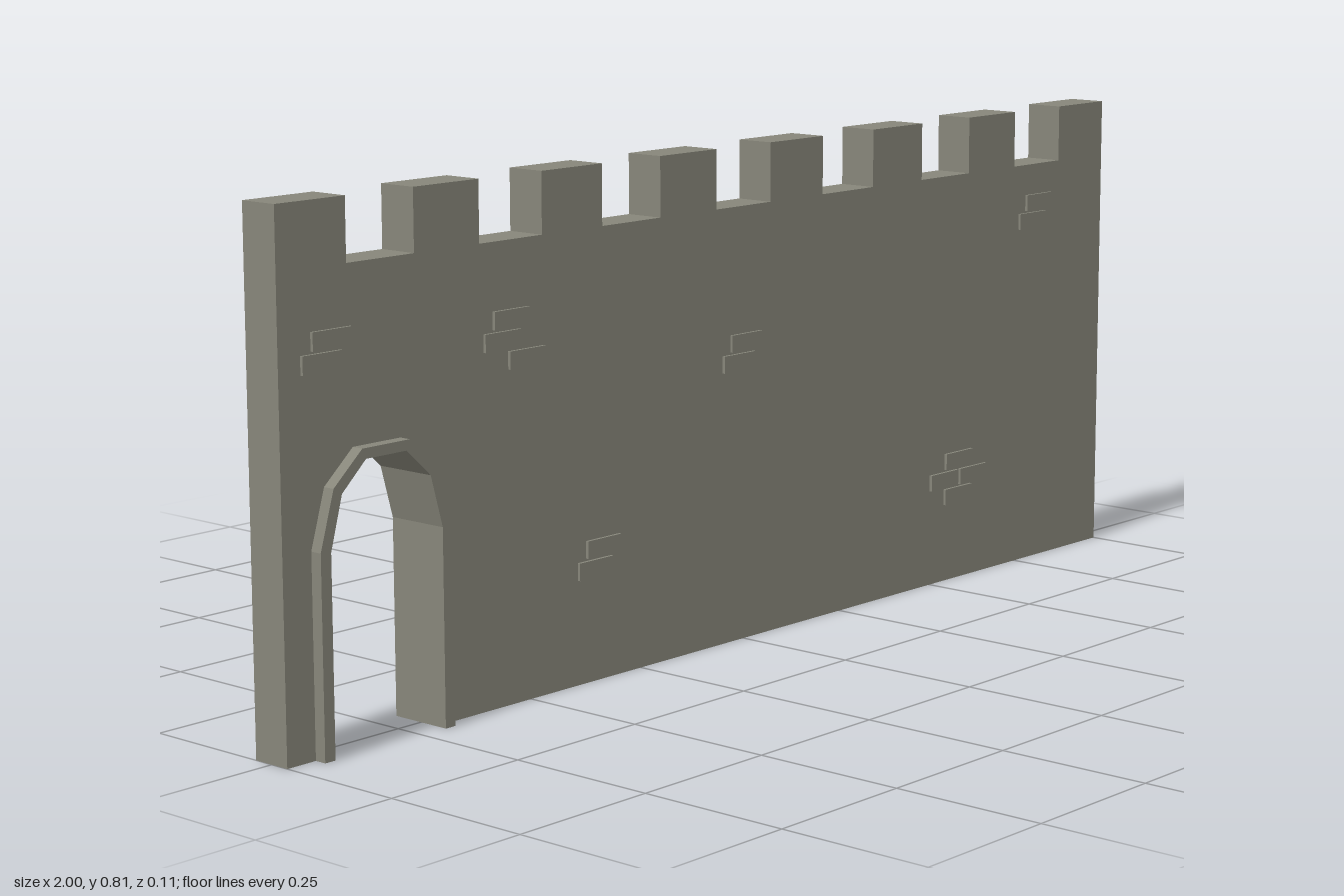
import * as THREE from 'three';

const stone = new THREE.MeshStandardMaterial({ color: 0x87867a });
stone.name = 'stone';

// Extrude a closed outline symmetrically about z = 0
function slab(name, points, depth) {
  const shape = new THREE.Shape(points.map(([x, y]) => new THREE.Vector2(x, y)));
  const geo = new THREE.ExtrudeGeometry(shape, { depth, bevelEnabled: false });
  geo.translate(0, 0, -depth / 2);
  const mesh = new THREE.Mesh(geo, stone);
  mesh.name = name;
  return mesh;
}

// Mirror half of an arch outline about the gate's centre line, left to right
const GATE_X = -0.814;
const arch = (half) => [
  ...half.map(([x, y]) => [GATE_X - x, y]),
  ...[...half].reverse().map(([x, y]) => [GATE_X + x, y]),
];

export function createModel() {
  const group = new THREE.Group();
  group.name = 'castleWall';

  const outer = arch([[0.131, 0], [0.131, 0.31], [0.104, 0.4], [0.047, 0.45]]);
  const inner = arch([[0.111, 0], [0.111, 0.308], [0.088, 0.39], [0.04, 0.434]]);

  // Wall with battlements and a gate opening
  const top = 0.815, notch = 0.718, step = 2 / 15, thickness = 0.067;
  const outline = [[-1, 0], ...outer, [1, 0]];
  for (let i = 14; i >= 0; i--) {
    const y = i % 2 === 0 ? top : notch;
    outline.push([-1 + (i + 1) * step, y], [-1 + i * step, y]);
  }
  group.add(slab('wall', outline, thickness));

  // Raised stone surround of the gate
  group.add(slab('gateFrame', [...outer, ...[...inner].reverse()], 0.107));

  // Clusters of slightly raised bricks on the front: [left x, top y]
  const bricks = new THREE.Group();
  bricks.name = 'bricks';
  const w = 0.076, h = 0.028, d = 0.005;
  [
    [-0.938, 0.627], [-0.958, 0.595],
    [-0.574, 0.613], [-0.594, 0.581], [-0.542, 0.549],
    [-0.033, 0.51], [-0.052, 0.478],
    [-0.375, 0.228], [-0.394, 0.196],
    [0.54, 0.228], [0.498, 0.196], [0.58, 0.196], [0.538, 0.165],
    [0.768, 0.664], [0.748, 0.632],
  ].forEach(([x, y]) => {
    const brick = new THREE.Mesh(new THREE.BoxGeometry(w, h, d), stone);
    brick.name = 'brick';
    brick.position.set(x + w / 2, y - h / 2, thickness / 2 + d / 2);
    bricks.add(brick);
  });
  group.add(bricks);

  return group;
}
